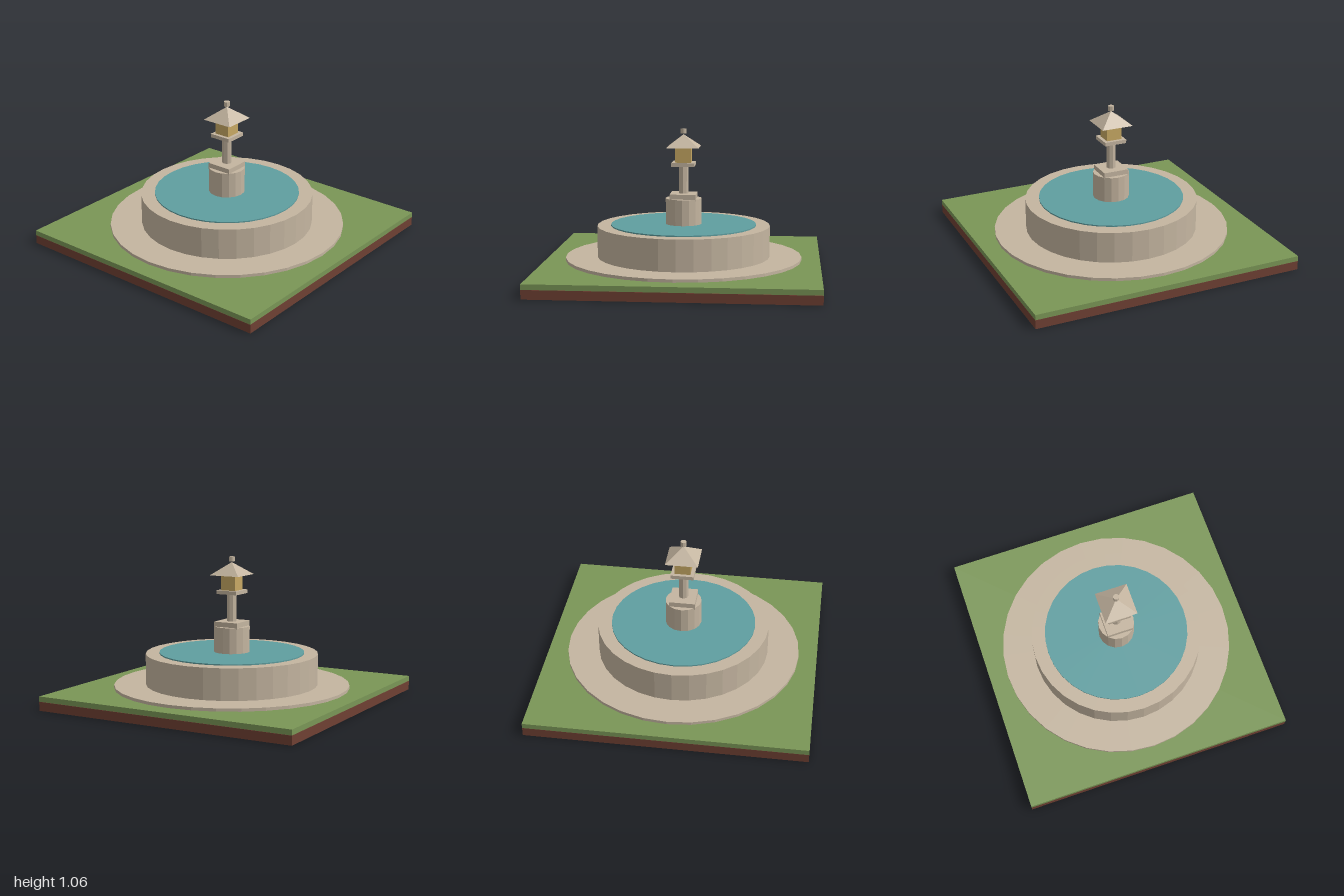
import * as THREE from 'three';

export function createModel() {
  const model = new THREE.Group();
  const material = (name, color, extra = {}) => {
    const m = new THREE.MeshStandardMaterial({ color, flatShading: true, ...extra });
    m.name = name;
    return m;
  };
  const stone = material('stone', 0xc4b5a0);
  const grass = material('grass', 0x7a9656);
  const soil = material('soil', 0x6f4033, { side: THREE.DoubleSide });
  const water = material('water', 0x5f9ea0);
  const lamp = material('lamp glow', 0xc8a964);

  const add = (name, geometry, mat, y) => {
    const mesh = new THREE.Mesh(geometry, mat);
    mesh.name = name;
    mesh.position.y = y;
    model.add(mesh);
    return mesh;
  };
  // Square slab and round drum, each given by bottom and top heights
  const slab = (name, width, y0, y1, mat) =>
    add(name, new THREE.BoxGeometry(width, y1 - y0, width), mat, (y0 + y1) / 2);
  const drum = (name, radius, y0, y1, sides, mat) =>
    add(name, new THREE.CylinderGeometry(radius, radius, y1 - y0, sides), mat, (y0 + y1) / 2);

  // Ground: a soil tray open underneath, with turf on top
  const tray = slab('soilTray', 2, 0, 0.065, soil).geometry;
  const index = Array.from(tray.index.array);
  index.splice(18, 6); // drop the bottom face
  tray.setIndex(index);
  tray.clearGroups();
  slab('lawn', 2, 0.066, 0.104, grass);

  // Paved ring, basin and water
  drum('pavement', 0.865, 0.1, 0.126, 32, stone);
  drum('basin', 0.632, 0.12, 0.354, 32, stone);
  drum('waterSurface', 0.532, 0.35, 0.363, 32, water);

  // Pedestal and post
  drum('pedestal', 0.132, 0.354, 0.552, 16, stone);
  slab('pedestalCap', 0.19, 0.54, 0.588, stone);
  drum('post', 0.035, 0.585, 0.793, 8, stone);

  // Lantern
  slab('lanternPlate', 0.166, 0.79, 0.817, stone);
  slab('lanternBox', 0.115, 0.815, 0.93, lamp);
  const roof = new THREE.ConeGeometry(0.118 * Math.SQRT2, 0.092, 4).rotateY(Math.PI / 4);
  add('lanternRoof', roof, stone, 0.974);
  drum('finial', 0.022, 1.026, 1.061, 8, stone);

  return model;
}
